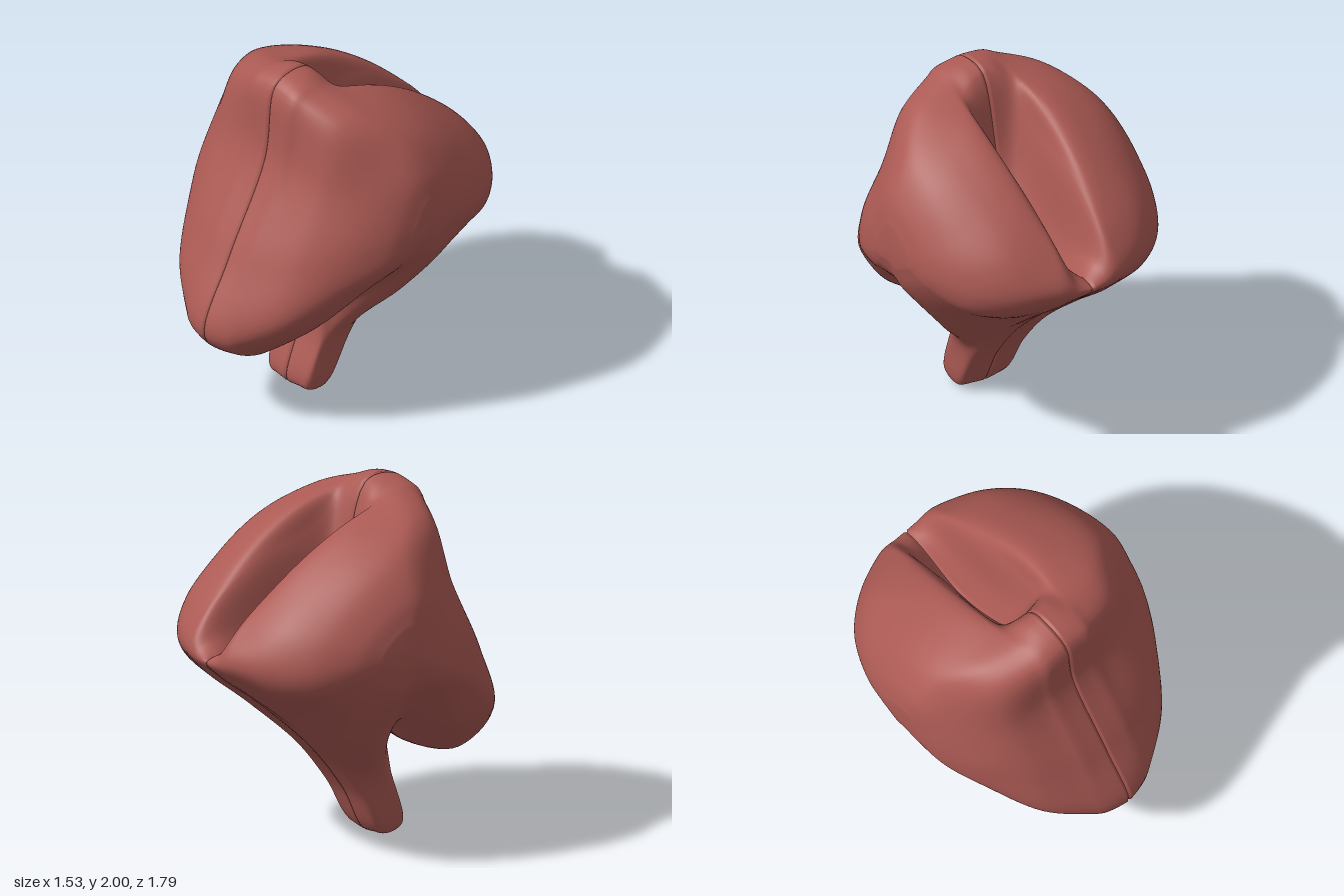
import * as THREE from 'three';

// Side outlines (z, y) of one half at growing distance from the midline.
// Every outline runs: front top, trough, back tip, stalk, fork, front lobe.
const midline = [
  0.39, 1.94, 0.27, 2.0, 0.13, 1.965, -0.08, 1.32, -0.45, 1.06, -0.8, 1.17, -0.895, 1.14,
  -0.8, 1.04, -0.52, 0.82, -0.21, 0.53, -0.01, 0.27, 0.14, 0.01, 0.3, 0.05, 0.21, 0.38,
  0.18, 0.63, 0.38, 0.47, 0.65, 0.39, 0.895, 0.58, 0.72, 1.0, 0.46, 1.52];
const stalkSide = [
  0.39, 1.92, 0.27, 1.97, 0.10, 1.91, -0.08, 1.72, -0.46, 1.58, -0.79, 1.34, -0.89, 1.16,
  -0.79, 1.03, -0.52, 0.81, -0.21, 0.535, -0.01, 0.28, 0.15, 0.03, 0.28, 0.06, 0.2, 0.38,
  0.18, 0.64, 0.37, 0.5, 0.64, 0.42, 0.86, 0.585, 0.71, 1.01, 0.46, 1.52];
const troughRim = [
  0.37, 1.9, 0.25, 1.945, 0.08, 1.905, -0.16, 1.82, -0.48, 1.63, -0.78, 1.35, -0.88, 1.17,
  -0.78, 1.03, -0.51, 0.81, -0.23, 0.57, -0.04, 0.4, 0.05, 0.36, 0.13, 0.38, 0.14, 0.5,
  0.15, 0.66, 0.35, 0.54, 0.61, 0.455, 0.83, 0.61, 0.69, 1.02, 0.45, 1.51];
const middle = [
  0.3, 1.8, 0.18, 1.86, 0.03, 1.84, -0.22, 1.75, -0.48, 1.58, -0.72, 1.35, -0.79, 1.17,
  -0.73, 1.04, -0.51, 0.9, -0.32, 0.76, -0.2, 0.655, -0.11, 0.625, -0.03, 0.65, 0.03, 0.72,
  0.1, 0.76, 0.26, 0.71, 0.48, 0.64, 0.68, 0.74, 0.6, 1.06, 0.42, 1.46];
const shoulder = [
  0.13, 1.65, 0.03, 1.71, -0.08, 1.7, -0.25, 1.62, -0.43, 1.48, -0.59, 1.31, -0.64, 1.17,
  -0.6, 1.07, -0.47, 1.0, -0.34, 0.93, -0.25, 0.88, -0.17, 0.855, -0.1, 0.86, -0.04, 0.89,
  0.03, 0.91, 0.16, 0.9, 0.29, 0.88, 0.43, 0.93, 0.42, 1.13, 0.28, 1.42];
const pole = new THREE.Vector3(0.765, 1.26, -0.1);

const mix = (a, b, t) => a.map((v, i) => v + (b[i] - v) * t);
const toPole = t => mix(shoulder, shoulder.map((_, i) => (i % 2 ? pole.y : pole.z)), t);

const sections = [
  [0.012, midline],
  [0.08, mix(midline, stalkSide, 0.35)],
  [0.15, stalkSide],
  [0.205, troughRim],
  [0.42, middle],
  [0.6, shoulder],
  [0.715, toPole(0.4)],
  [0.757, toPole(0.72)],
];

const RINGS = 56;   // rings from midline to side
const AROUND = 160; // points around each ring

// One half: rails join matching outline points, then each ring is a closed spline.
function halfGeometry(side) {
  const rails = [];
  for (let i = 0; i < midline.length / 2; i++) {
    rails.push(new THREE.CatmullRomCurve3(
      sections.map(([x, s]) => new THREE.Vector3(x, s[2 * i + 1], s[2 * i])), false, 'centripetal'));
  }
  const rings = [];
  for (let k = 0; k <= RINGS; k++) {
    const loop = new THREE.CatmullRomCurve3(rails.map(r => r.getPoint(k / RINGS)), true, 'centripetal');
    const ring = [];
    for (let j = 0; j < AROUND; j++) ring.push(loop.getPoint(j / AROUND));
    rings.push(ring);
  }

  // Fine seam: a first ring tucked slightly inward at the midline
  const edge = rings[0];
  rings.unshift(edge.map((p, j) => {
    const t = edge[(j + 1) % AROUND].clone().sub(edge[(j + AROUND - 1) % AROUND]).normalize();
    return new THREE.Vector3(0, p.y + t.z * 0.01, p.z - t.y * 0.01);
  }));

  const positions = [];
  const index = [];
  const face = (a, b, c) => (side > 0 ? index.push(a, b, c) : index.push(a, c, b));
  for (const ring of rings) for (const p of ring) positions.push(side * p.x, p.y, p.z);
  positions.push(side * pole.x, pole.y, pole.z);
  const last = rings.length - 1;
  for (let k = 0; k <= last; k++) {
    for (let j = 0; j < AROUND; j++) {
      const n = (j + 1) % AROUND;
      const a = k * AROUND + j, b = k * AROUND + n;
      if (k === last) {
        face(a, rings.length * AROUND, b);
      } else {
        face(a, a + AROUND, b);
        face(b, a + AROUND, b + AROUND);
      }
    }
  }
  const geometry = new THREE.BufferGeometry();
  geometry.setAttribute('position', new THREE.Float32BufferAttribute(positions, 3));
  geometry.setIndex(index);
  geometry.computeVertexNormals();
  return geometry;
}

export function createModel() {
  const group = new THREE.Group();
  group.name = 'muscle';
  const red = new THREE.MeshStandardMaterial({ color: 0xac5a54 });
  red.name = 'muscle red';

  // Mirrored halves meeting at the midline seam
  for (const [name, side] of [['leftHalf', 1], ['rightHalf', -1]]) {
    const mesh = new THREE.Mesh(halfGeometry(side), red);
    mesh.name = name;
    group.add(mesh);
  }
  return group;
}
